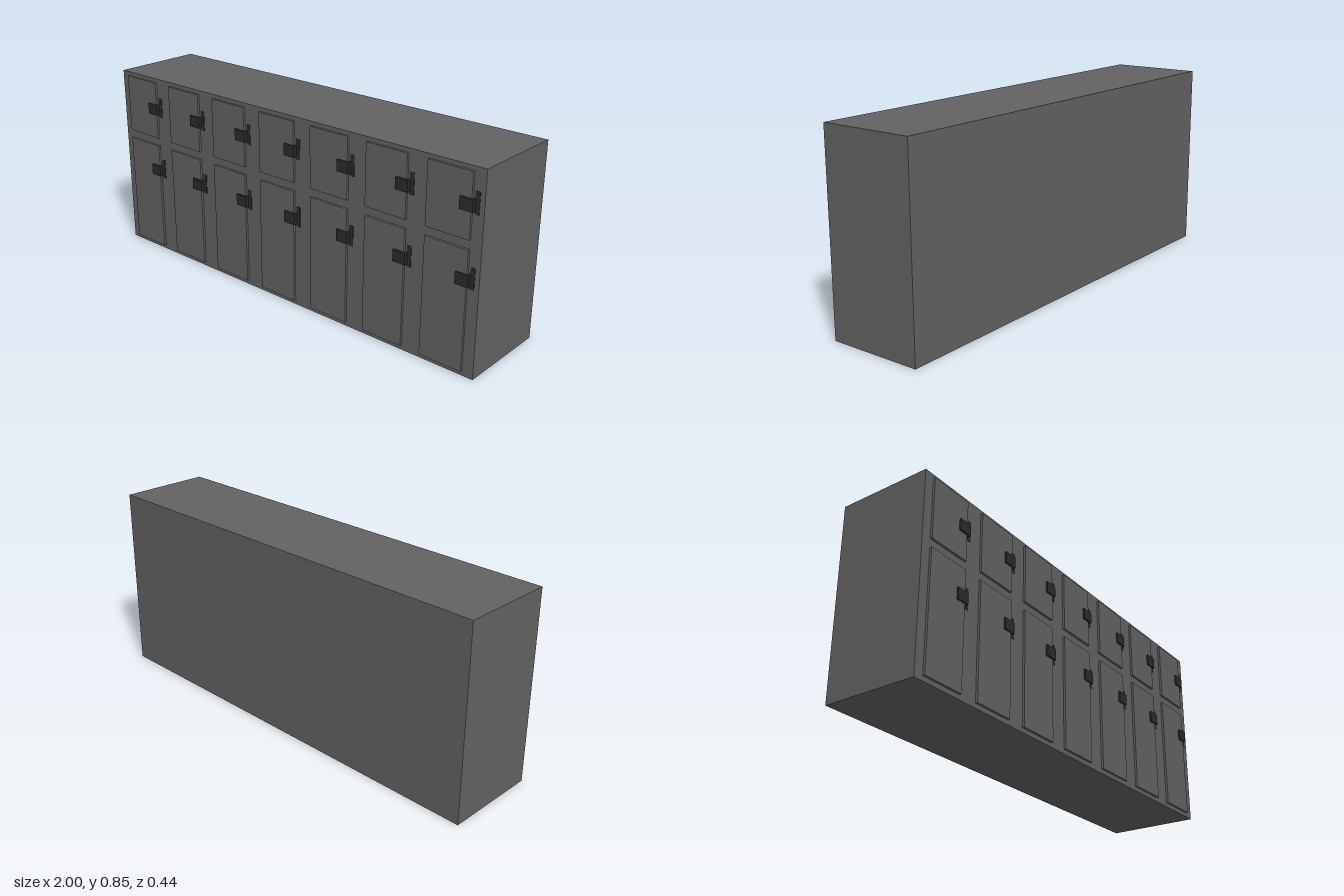
import * as THREE from 'three';

export function createModel() {
  const model = new THREE.Group();
  model.name = 'lockerBank';

  const steel = new THREE.MeshStandardMaterial({ name: 'grey steel', color: 0x626262 });
  const dark = new THREE.MeshStandardMaterial({ name: 'dark metal', color: 0x2b2b2b });

  // Box given by its minimum and maximum corners
  function box(name, material, [x0, y0, z0], [x1, y1, z1], parent) {
    const mesh = new THREE.Mesh(new THREE.BoxGeometry(x1 - x0, y1 - y0, z1 - z0), material);
    mesh.position.set((x0 + x1) / 2, (y0 + y1) / 2, (z0 + z1) / 2);
    mesh.name = name;
    parent.add(mesh);
  }

  const front = 0.202;
  box('cabinet', steel, [-1, 0, -0.22], [1, 0.852, front], model);

  // Two rows of doors, each with a latch and a strike plate on the frame
  const rows = [
    { name: 'lowerLocker', bottom: 0.02, top: 0.53, latch: 0.408 },
    { name: 'upperLocker', bottom: 0.568, top: 0.834, latch: 0.707 },
  ];
  const columns = 7;
  const pitch = 0.2855;
  for (const row of rows) {
    for (let i = 0; i < columns; i++) {
      const locker = new THREE.Group();
      locker.name = row.name + (i + 1);
      locker.position.x = -0.957 + i * pitch;
      box('door', steel, [0, row.bottom, front - 0.01], [0.195, row.top, 0.212], locker);
      box('latch', dark, [0.148, row.latch - 0.025, front], [0.206, row.latch + 0.025, 0.22], locker);
      box('strikePlate', dark, [0.204, row.latch - 0.036, front - 0.01], [0.224, row.latch + 0.054, front + 0.002], locker);
      model.add(locker);
    }
  }
  return model;
}
